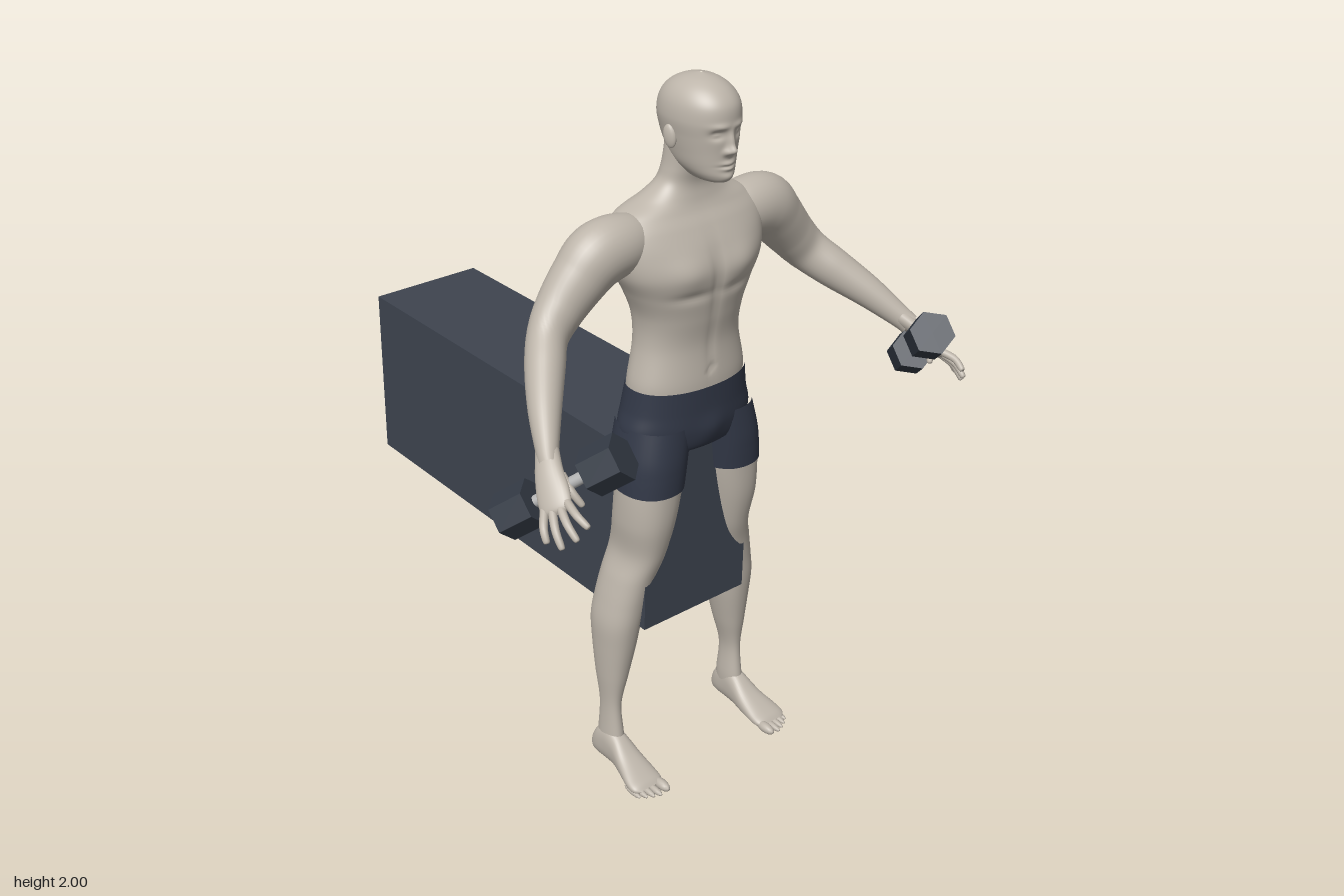
import * as THREE from 'three';

const material = (name, color) => {
  const m = new THREE.MeshStandardMaterial({ color });
  m.name = name;
  return m;
};

// Catmull-Rom interpolation of every column in a list of rows
function sample(rows, t) {
  const f = t * (rows.length - 1);
  const i = Math.min(Math.floor(f), rows.length - 2), u = f - i;
  const at = k => rows[Math.max(0, Math.min(rows.length - 1, k))];
  const [p, q, r, s] = [at(i - 1), at(i), at(i + 1), at(i + 2)];
  return q.map((_, k) => q[k] + 0.5 * u * (r[k] - p[k]
    + u * (2 * p[k] - 5 * q[k] + 4 * r[k] - s[k] + u * (3 * (q[k] - r[k]) + s[k] - p[k]))));
}

// Closed rings joined into a smooth skin; ring(t) returns a function of the angle
function skin(ring, steps, segs, flip = false) {
  const pos = [], idx = [];
  for (let i = 0; i <= steps; i++) {
    const point = ring(i / steps);
    for (let j = 0; j < segs; j++) pos.push(...point(j / segs * Math.PI * 2));
  }
  for (let i = 0; i < steps; i++) for (let j = 0; j < segs; j++) {
    const a = i * segs + j, b = i * segs + (j + 1) % segs, c = a + segs, d = b + segs;
    if (flip) idx.push(a, b, c, b, d, c);
    else idx.push(a, c, b, b, c, d);
  }
  const g = new THREE.BufferGeometry();
  g.setAttribute('position', new THREE.Float32BufferAttribute(pos, 3));
  g.setIndex(idx);
  g.computeVertexNormals();
  return g;
}

// Rows: [level, xMin, xMax, depthMin, depthMax]; bumps: [x, y, side, amount, sizeX, sizeY]
function loft(rows, { steps = 48, segs = 40, n = 2.2, bumps = [], lying = false } = {}) {
  return skin(t => {
    const [y, x0, x1, z0, z1] = sample(rows, t);
    return a => {
      const c = Math.cos(a), s = Math.sin(a);
      const x = (x0 + x1) / 2 + (x1 - x0) / 2 * Math.sign(c) * Math.abs(c) ** (2 / n);
      let z = (z0 + z1) / 2 + (z1 - z0) / 2 * Math.sign(s) * Math.abs(s) ** (2 / n);
      for (const [bx, by, side, amount, sx, sy] of bumps) {
        if (s * side <= 0) continue;
        const e = ((Math.abs(x) - bx) / sx) ** 2 + ((y - by) / sy) ** 2;
        z += side * amount * Math.exp(-e) * Math.abs(s);
      }
      return lying ? [x, z, y] : [x, y, z];
    };
  }, steps, segs, lying);
}

// Tube of changing radius; rows: [x, y, z, radiusAcross, radiusAlongUp]
function limb(rows, up = new THREE.Vector3(0, 1, 0), steps = 40, segs = 24) {
  const centre = t => new THREE.Vector3(...sample(rows, t).slice(0, 3));
  return skin(t => {
    const [, , , ru, rv] = sample(rows, t), c = centre(t);
    const T = centre(Math.min(1, t + 0.01)).sub(centre(Math.max(0, t - 0.01))).normalize();
    const V = up.clone().addScaledVector(T, -up.dot(T)).normalize();
    const U = T.clone().cross(V);
    return a => c.clone().addScaledVector(U, Math.cos(a) * ru).addScaledVector(V, Math.sin(a) * rv).toArray();
  }, steps, segs);
}

function mirrored(geometry) {
  const g = geometry.clone().scale(-1, 1, 1), ix = g.index;
  for (let i = 0; i < ix.count; i += 3) {
    const b = ix.getX(i + 1);
    ix.setX(i + 1, ix.getX(i + 2));
    ix.setX(i + 2, b);
  }
  g.computeVertexNormals();
  return g;
}

export function createModel() {
  const model = new THREE.Group();
  model.name = 'dumbbellExercise';
  const skinTone = material('skin', 0xbdb5aa), cloth = material('shortsCloth', 0x323847);
  const benchMat = material('bench', 0x3e444f), iron = material('iron', 0x343b46), steel = material('steel', 0xb4b4b4);

  const add = (name, geometry, mat) => {
    const m = new THREE.Mesh(geometry, mat);
    m.name = name;
    model.add(m);
  };
  const pair = (name, geometry, mat) => {
    add(name + 'Left', geometry, mat);
    add(name + 'Right', mirrored(geometry), mat);
  };
  const even = rows => rows.map(([y, w, b, f]) => [y, -w, w, b, f]);

  // Bench block
  add('bench', new THREE.BoxGeometry(0.36, 0.53, 1.31).translate(0, 0.735, -0.185), benchMat);

  // Torso and neck
  add('torso', loft(even([
    [1.15, 0.174, 0.295, 0.508], [1.2, 0.174, 0.3, 0.508], [1.3, 0.155, 0.303, 0.5],
    [1.38, 0.16, 0.295, 0.51], [1.45, 0.188, 0.284, 0.52], [1.51, 0.22, 0.276, 0.522],
    [1.57, 0.235, 0.273, 0.504], [1.62, 0.235, 0.277, 0.478], [1.655, 0.2, 0.287, 0.455],
    [1.685, 0.13, 0.305, 0.443], [1.72, 0.084, 0.325, 0.437], [1.76, 0.07, 0.335, 0.445],
    [1.82, 0.064, 0.34, 0.46]]), {
    steps: 100, segs: 96, n: 2.25, bumps: [
      [0.09, 1.52, 1, 0.012, 0.06, 0.045], [0.08, 1.452, 1, -0.006, 0.06, 0.014],
      [0, 1.48, 1, -0.008, 0.014, 0.09], [0, 1.3, 1, -0.004, 0.012, 0.08],
      [0, 1.23, 1, -0.007, 0.009, 0.009], [0, 1.4, -1, -0.014, 0.022, 0.17],
      [0.11, 1.55, -1, 0.01, 0.05, 0.06], [0.05, 1.27, -1, 0.006, 0.03, 0.08]]
  }), skinTone);

  // Head with sculpted face
  add('head', loft(even([
    [1.742, 0.008, 0.44, 0.5], [1.748, 0.034, 0.41, 0.53], [1.765, 0.052, 0.385, 0.54],
    [1.79, 0.066, 0.35, 0.54], [1.825, 0.075, 0.33, 0.541], [1.86, 0.082, 0.315, 0.544],
    [1.9, 0.088, 0.308, 0.546], [1.94, 0.083, 0.317, 0.54], [1.97, 0.066, 0.342, 0.515],
    [1.99, 0.038, 0.38, 0.478], [2, 0.002, 0.425, 0.435]]), {
    steps: 110, segs: 128, n: 2.1, bumps: [
      [0, 1.833, 1, 0.02, 0.011, 0.013], [0, 1.855, 1, 0.012, 0.009, 0.022],
      [0.013, 1.829, 1, 0.008, 0.007, 0.008], [0.034, 1.873, 1, -0.012, 0.016, 0.011],
      [0.034, 1.872, 1, 0.006, 0.01, 0.005], [0.03, 1.893, 1, 0.005, 0.022, 0.008],
      [0, 1.799, 1, 0.007, 0.02, 0.006], [0, 1.786, 1, 0.007, 0.018, 0.006],
      [0, 1.792, 1, -0.004, 0.024, 0.003], [0, 1.763, 1, 0.006, 0.02, 0.012]]
  }), skinTone);
  pair('ear', new THREE.SphereGeometry(1, 16, 12).scale(0.009, 0.03, 0.018).rotateX(-0.2)
    .rotateY(-0.3).translate(0.086, 1.853, 0.42), skinTone);

  // Shorts
  add('shorts', loft(even([
    [0.995, 0.12, 0.33, 0.48], [1.01, 0.18, 0.31, 0.505], [1.06, 0.203, 0.29, 0.515],
    [1.12, 0.19, 0.288, 0.515], [1.185, 0.18, 0.296, 0.514]]), {
    segs: 80, bumps: [[0.085, 1.07, -1, 0.015, 0.06, 0.06], [0, 1.05, -1, -0.02, 0.015, 0.08],
      [0, 1.06, 1, 0.008, 0.04, 0.04]]
  }), cloth);
  pair('shortsLeg', loft([
    [0.9, 0.045, 0.225, 0.323, 0.519], [0.95, 0.037, 0.222, 0.315, 0.519],
    [1, 0.028, 0.217, 0.303, 0.517], [1.08, 0.01, 0.2, 0.3, 0.508]]), cloth);

  // Legs, feet and toes
  pair('leg', loft([
    [0.05, 0.203, 0.256, 0.336, 0.44], [0.1, 0.2, 0.253, 0.34, 0.432], [0.2, 0.203, 0.25, 0.345, 0.42],
    [0.3, 0.18, 0.258, 0.325, 0.432], [0.4, 0.158, 0.264, 0.308, 0.446], [0.48, 0.145, 0.266, 0.3, 0.456],
    [0.55, 0.128, 0.254, 0.302, 0.462], [0.62, 0.11, 0.236, 0.305, 0.472], [0.7, 0.09, 0.212, 0.31, 0.491],
    [0.8, 0.07, 0.22, 0.325, 0.51], [0.9, 0.05, 0.22, 0.328, 0.514], [1, 0.035, 0.212, 0.31, 0.512]],
    { steps: 80 }), skinTone);
  pair('foot', loft([
    [0.322, 0.228, 0.232, 0.03, 0.035], [0.328, 0.212, 0.25, 0.008, 0.065], [0.35, 0.204, 0.257, 0.002, 0.1],
    [0.39, 0.2, 0.259, 0.002, 0.118], [0.43, 0.195, 0.262, 0.004, 0.104], [0.48, 0.187, 0.274, 0.004, 0.07],
    [0.53, 0.183, 0.287, 0.002, 0.046], [0.56, 0.186, 0.286, 0.004, 0.034], [0.575, 0.2, 0.27, 0.014, 0.022]],
    { lying: true, n: 2.4 }), skinTone);
  for (let i = 0; i < 5; i++) {
    const r = i ? 0.0105 - i * 0.0005 : 0.015;
    pair('toe' + (i + 1), new THREE.SphereGeometry(1, 14, 10).scale(r, r, 0.034)
      .translate([0.2, 0.226, 0.245, 0.263, 0.279][i], r, [0.578, 0.578, 0.57, 0.56, 0.548][i]), skinTone);
  }

  // Arms
  pair('arm', limb([
    [0.12, 1.58, 0.385, 0.05, 0.06], [0.2, 1.59, 0.383, 0.073, 0.078], [0.275, 1.578, 0.38, 0.077, 0.085],
    [0.33, 1.53, 0.376, 0.07, 0.077], [0.39, 1.465, 0.376, 0.06, 0.067], [0.44, 1.41, 0.392, 0.052, 0.06],
    [0.49, 1.36, 0.447, 0.05, 0.055], [0.55, 1.3, 0.525, 0.041, 0.044], [0.6, 1.24, 0.6, 0.028, 0.032],
    [0.615, 1.22, 0.625, 0.024, 0.03]], undefined, 70, 32), skinTone);

  // Open hands, spread along the dumbbell axis
  const spread = new THREE.Vector3(-0.57, 0.49, 0.66).normalize();
  pair('palm', limb([
    [0.6, 1.24, 0.6, 0.024, 0.03], [0.625, 1.208, 0.64, 0.021, 0.037], [0.643, 1.175, 0.68, 0.018, 0.043],
    [0.655, 1.15, 0.706, 0.013, 0.038], [0.659, 1.142, 0.714, 0.002, 0.01]], spread), skinTone);
  const finger = (name, a, b) => {
    const mid = a.clone().lerp(b, 0.55).add(new THREE.Vector3(0.008, 0.006, 0.002));
    const tip = b.clone().lerp(mid, 0.12);
    pair(name, limb([[...a, 0.011, 0.011], [...mid, 0.01, 0.01], [...tip, 0.008, 0.008], [...b, 0.001, 0.001]],
      spread, 16, 12), skinTone);
  };
  [[0.702, 1.09, 0.732], [0.685, 1.085, 0.768], [0.66, 1.11, 0.793], [0.637, 1.143, 0.805]].forEach((tip, i) =>
    finger('finger' + (i + 1), new THREE.Vector3(0.651, 1.157, 0.698).addScaledVector(spread, (i - 1.5) * 0.02),
      new THREE.Vector3(...tip)));
  finger('thumb', new THREE.Vector3(0.61, 1.212, 0.668), new THREE.Vector3(0.593, 1.148, 0.728));

  // Hexagonal dumbbells
  const front = new THREE.Vector3(0.545, 1.255, 0.755), rear = new THREE.Vector3(0.675, 1.105, 0.59);
  const axis = rear.clone().sub(front), turn = new THREE.Quaternion()
    .setFromUnitVectors(new THREE.Vector3(0, 1, 0), axis.clone().normalize());
  const bar = (name, r, length, sides, at, mat) => {
    for (const s of [1, -1]) {
      const g = new THREE.CylinderGeometry(r, r, length, sides).applyQuaternion(turn).translate(...at);
      // Flat faces stay crisp on the few-sided heads
      const m = new THREE.Mesh(s > 0 ? g : g.scale(-1, 1, 1), mat);
      if (s < 0) {
        const order = Array.from(g.index.array);
        for (let i = 0; i < order.length; i += 3) [order[i], order[i + 1]] = [order[i + 1], order[i]];
        g.setIndex(order);
      }
      if (sides < 10) {
        m.geometry = g.toNonIndexed();
        m.geometry.computeVertexNormals();
      }
      m.name = name + (s > 0 ? 'Left' : 'Right');
      model.add(m);
    }
  };
  bar('dumbbellFrontHead', 0.06, 0.096, 6, front, iron);
  bar('dumbbellRearHead', 0.06, 0.096, 6, rear, iron);
  bar('dumbbellHandle', 0.015, axis.length(), 20, front.clone().lerp(rear, 0.5), steel);

  return model;
}
